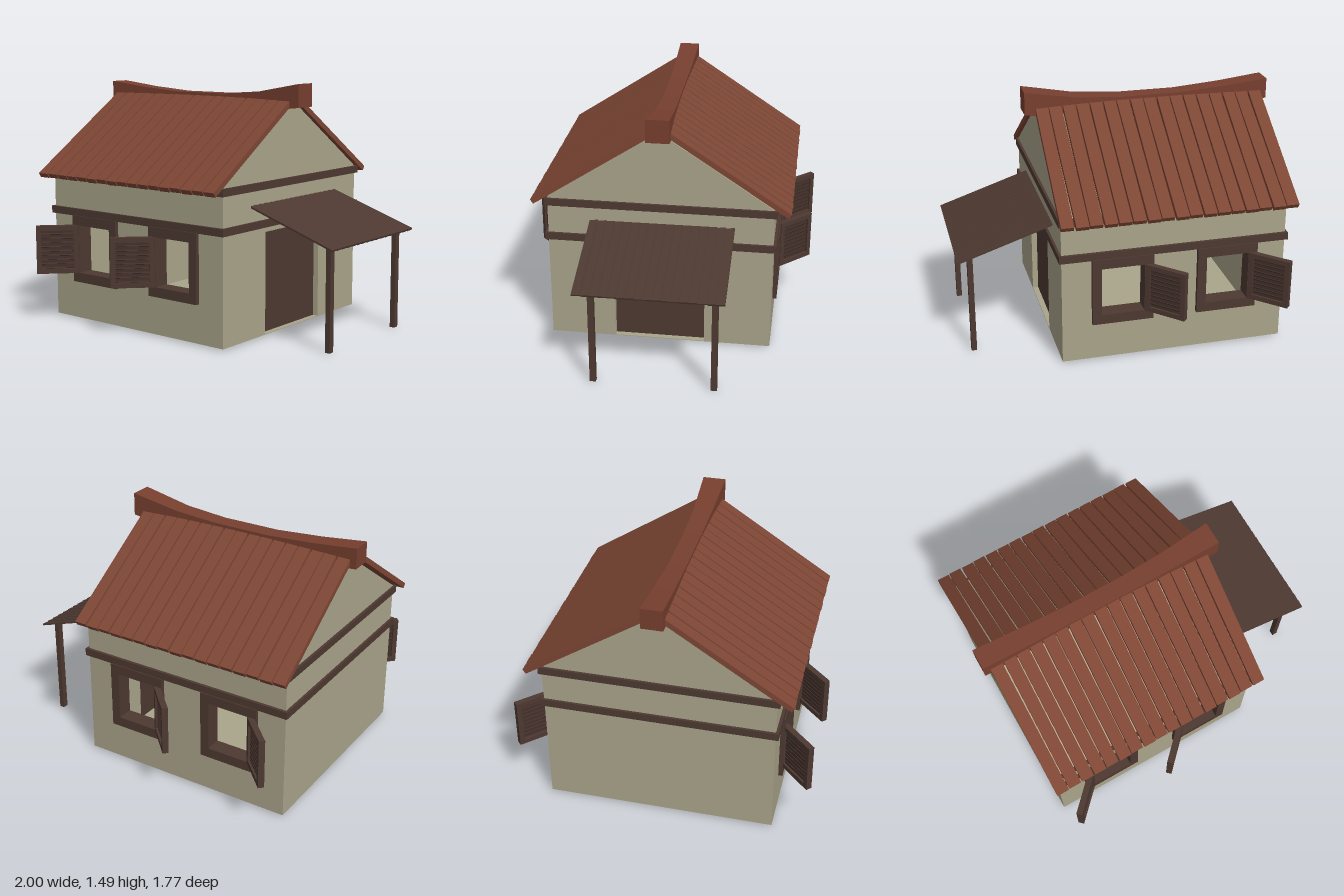
import * as THREE from 'three';

const mat = (color) => new THREE.MeshStandardMaterial({ color, flatShading: true });

export function createModel() {
  const plaster = mat(0xaaa48a), wood = mat(0x4d3931), darkWood = mat(0x43302a);
  const tile = mat(0x7d4634), ridgeMat = mat(0x773f2f);
  const root = new THREE.Group();

  const add = (name, geo, material, parent = root) => {
    const m = new THREE.Mesh(geo, material);
    m.name = name;
    parent.add(m);
    return m;
  };
  // Box given by its minimum and maximum corners
  const box = (name, a, b, material, parent) => {
    const m = add(name, new THREE.BoxGeometry(b[0] - a[0], b[1] - a[1], b[2] - a[2]), material, parent);
    m.position.set((a[0] + b[0]) / 2, (a[1] + b[1]) / 2, (a[2] + b[2]) / 2);
    return m;
  };
  const rect = (x0, y0, x1, y1, P = THREE.Path) => {
    const p = new P();
    p.moveTo(x0, y0); p.lineTo(x1, y0); p.lineTo(x1, y1); p.lineTo(x0, y1); p.closePath();
    return p;
  };
  // Flat panel with rectangular openings
  const panel = (outer, holes, depth) => {
    const s = rect(...outer, THREE.Shape);
    s.holes = holes.map((h) => rect(...h));
    return new THREE.ExtrudeGeometry(s, { depth, bevelEnabled: false });
  };

  const X0 = -0.92, X1 = 0.435, Z = 0.675, T = 0.07, Y0 = 0.01, Y1 = 0.9;
  const windows = [-0.69, -0.055], winW = 0.258, winY0 = 0.305, winY1 = 0.603;

  // Walls and floor
  const openings = windows.map((x) => [x - 0.02, winY0 - 0.02, x + winW + 0.02, winY1 + 0.02]);
  for (const [name, z] of [['frontWall', Z - T], ['backWall', -Z]])
    add(name, panel([X0, Y0, X1, Y1], openings, T), plaster).position.z = z;
  box('leftEndWall', [X0, Y0, -Z + T], [X0 + T, Y1, Z - T], plaster);
  const doorWall = add('doorWall', panel([-Z + T, Y0, Z - T, Y1], [[-0.278, 0.014, 0.272, 0.63]], T), plaster);
  doorWall.rotation.y = Math.PI / 2;
  doorWall.position.x = X1 - T;
  box('floor', [X0 + T, Y0, -Z + T], [X1 - T, 0.03, Z - T], plaster);
  box('door', [X1 - T + 0.005, 0.012, -0.275], [X1 - 0.035, 0.635, 0.28], wood);

  // Gable block under the roof
  const tri = new THREE.Shape();
  tri.moveTo(-Z, 0.89); tri.lineTo(Z, 0.89); tri.lineTo(Z, 0.932); tri.lineTo(0, 1.378); tri.lineTo(-Z, 0.932);
  const gable = add('gable', new THREE.ExtrudeGeometry(tri, { depth: X1 - X0, bevelEnabled: false }), plaster);
  gable.rotation.y = Math.PI / 2;
  gable.position.x = X0;

  // Beams round the house
  for (const [name, y0, y1] of [['lowerBeam', 0.66, 0.705], ['upperBeam', 0.885, 0.93]]) {
    const ring = new THREE.Group();
    ring.name = name;
    root.add(ring);
    for (const s of [-1, 1]) {
      const z0 = s > 0 ? 0.61 : -0.693;
      box(name + 'Long', [-0.935, y0, z0], [0.45, y1, z0 + 0.083], wood, ring);
      const x0 = s > 0 ? 0.37 : -0.935;
      box(name + 'End', [x0, y0, -0.61], [x0 + 0.08, y1, 0.61], wood, ring);
    }
  }

  // Window frames and half-open shutters on both long sides
  for (const s of [-1, 1]) for (const x of windows) {
    const f = 0.055;
    const frame = add('windowFrame', panel([x - f, winY0 - 0.06, x + winW + f, 0.662],
      [[x, winY0, x + winW, winY1]], 0.1), wood);
    frame.position.z = s > 0 ? 0.6 : -0.7;

    const shutter = new THREE.Group();
    shutter.name = 'shutter';
    const W = 0.26, H = 0.15, b = 0.03;
    add('shutterFrame', panel([0, -H, W, H], [[b, -H + b, W - b, H - b]], 0.036), wood, shutter).position.z = -0.018;
    box('shutterPanel', [b, -H + b, -0.005], [W - b, H - b, 0.005], darkWood, shutter);
    for (let i = 0; i < 9; i++) {
      const slat = add('shutterSlat', new THREE.BoxGeometry(W - 2 * b, 0.026, 0.006), darkWood, shutter);
      slat.position.set(W / 2, -H + b + 0.0133 + i * 0.0267, 0);
      slat.rotation.x = 0.5;
    }
    shutter.position.set(x - 0.013, (winY0 + winY1) / 2, s * 0.69);
    shutter.rotation.y = -s * Math.PI * 0.75;
    root.add(shutter);
  }

  // Sloping roof planks, slightly uneven
  const slope = Math.atan2(0.46, 0.70), len = 0.868;
  for (const s of [-1, 1]) {
    const side = new THREE.Group();
    side.name = s > 0 ? 'frontRoof' : 'backRoof';
    root.add(side);
    for (let i = 0; i < 17; i++) {
      const wob = Math.sin(i * 2.7 + s);
      const p = add('roofPlank', new THREE.BoxGeometry(0.075, 0.032, len + wob * 0.004), tile, side);
      p.position.set(-0.922 + i * 0.0834, 1.143, s * 0.403);
      p.rotation.set(s * slope, wob * 0.004, 0);
    }
  }

  // Sagging ridge beam built from rectangular cross-sections: x, top, bottom, half width
  const sections = [[-1, 1.46, 1.335, 0.063], [-0.72, 1.43, 1.31, 0.058], [-0.43, 1.41, 1.295, 0.053],
    [-0.07, 1.41, 1.295, 0.053], [0.2, 1.43, 1.31, 0.058], [0.515, 1.487, 1.347, 0.07]];
  const pos = [], idx = [];
  for (const [x, t, b, w] of sections) pos.push(x, b, -w, x, b, w, x, t, w, x, t, -w);
  for (let i = 0; i < sections.length - 1; i++) for (let j = 0; j < 4; j++) {
    const a = i * 4 + j, b = i * 4 + (j + 1) % 4;
    idx.push(a, a + 4, b, b, a + 4, b + 4);
  }
  const e = (sections.length - 1) * 4;
  idx.push(0, 1, 2, 0, 2, 3, e, e + 2, e + 1, e, e + 3, e + 2);
  let ridge = new THREE.BufferGeometry();
  ridge.setAttribute('position', new THREE.Float32BufferAttribute(pos, 3));
  ridge.setIndex(idx);
  ridge = ridge.toNonIndexed();
  ridge.computeVertexNormals();
  add('ridgeBeam', ridge, ridgeMat);

  // Porch canopy of narrow boards on two posts
  const canopy = new THREE.Group();
  canopy.name = 'porchCanopy';
  canopy.position.set(0.714, 0.703, -0.0125);
  canopy.rotation.z = -Math.atan2(0.19, 0.57);
  root.add(canopy);
  for (let i = 0; i < 17; i++) {
    const board = add('canopyBoard', new THREE.BoxGeometry(0.6, 0.011, 0.051), wood, canopy);
    board.position.z = (i - 8) * 0.0509;
    board.rotation.x = 0.08;
  }
  for (const z of [0.325, -0.385])
    box('porchPost', [0.905, 0, z - 0.018], [0.937, 0.63, z + 0.018], wood);

  return root;
}
